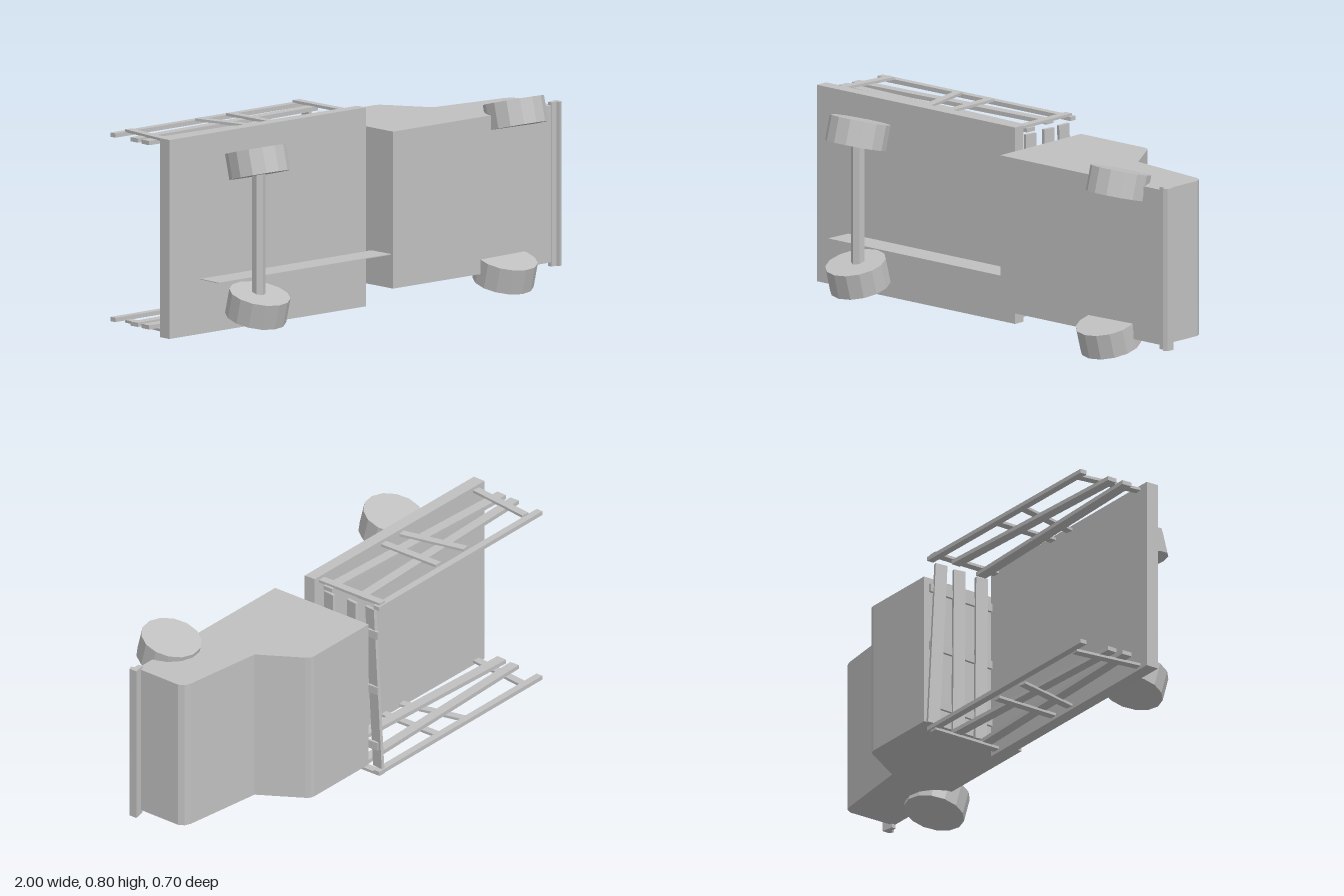
import * as THREE from 'three';

const grey = new THREE.MeshStandardMaterial({ color: 0xc0c0c0, flatShading: true });
grey.name = 'plain grey';

// Mid height of the truck, which lies on its side (its width runs along y)
const MID = 0.4035;

function add(parent, name, geometry) {
  const mesh = new THREE.Mesh(geometry, grey);
  mesh.name = name;
  parent.add(mesh);
  return mesh;
}

// Side profile of [x, z] points, extruded from y0 to y1
function slab(points, y0, y1) {
  const shape = new THREE.Shape(points.map(([x, z]) => new THREE.Vector2(x, -z)));
  const geo = new THREE.ExtrudeGeometry(shape, { depth: y1 - y0, bevelEnabled: false });
  geo.rotateX(-Math.PI / 2);
  geo.translate(0, y0, 0);
  return geo;
}

// Straight rectangular bar between two points; width lies square to its length and to 'across'
function bar(a, b, width, thick, across) {
  const p = new THREE.Vector3(...a), q = new THREE.Vector3(...b);
  const dir = q.clone().sub(p);
  const geo = new THREE.BoxGeometry(dir.length(), width, thick);
  const x = dir.normalize();
  const y = new THREE.Vector3(...across).cross(x).normalize();
  const z = x.clone().cross(y);
  geo.applyMatrix4(new THREE.Matrix4().makeBasis(x, y, z));
  const c = p.add(q).multiplyScalar(0.5);
  geo.translate(c.x, c.y, c.z);
  return geo;
}

export function createModel() {
  const truck = new THREE.Group();
  truck.name = 'stakeTruck';

  // Cab and bonnet
  add(truck, 'cab', slab([
    [0.07, -0.325], [0.41, -0.346], [0.428, -0.343], [0.443, -0.328], [0.56, -0.163],
    [0.91, -0.142], [0.935, -0.133], [0.95, -0.11], [0.96, 0.1], [0.1, 0.152],
  ], 0.087, 0.72));

  // Bumper with a turned-down lip
  add(truck, 'bumper', slab([
    [0.948, 0.084], [0.998, 0.07], [1, 0.105], [0.982, 0.114], [0.978, 0.1], [0.95, 0.102],
  ], 0.07, 0.732));

  // Load bed and the chassis plate beneath it
  add(truck, 'bed', slab([[-1, 0.04], [0.055, -0.02], [0.06, 0.03], [-0.997, 0.095]], 0.003, 0.805));
  add(truck, 'chassisPlate', slab([[-0.83, 0.084], [0.09, 0.026], [0.1, 0.14], [-0.83, 0.197]], 0.222, 0.225));

  // Splayed wheels: x, z and side
  const wheels = [
    ['rearRightWheel', -0.643, 0.2145, -1], ['rearLeftWheel', -0.643, 0.2145, 1],
    ['frontRightWheel', 0.69, 0.1305, -1], ['frontLeftWheel', 0.745, 0.128, 1],
  ];
  for (const [name, x, z, side] of wheels) {
    const wheel = add(truck, name, new THREE.CylinderGeometry(0.123, 0.123, 0.104, 14));
    const reach = x < 0 ? 0.2895 : 0.3135;
    wheel.position.set(x, MID + side * reach, z);
    wheel.rotation.x = -side * 0.26;
  }

  // Rear axle
  const axle = add(truck, 'rearAxle', new THREE.CylinderGeometry(0.027, 0.027, 0.5, 6));
  axle.position.set(-0.64, MID, 0.218);

  // Side racks: slats inside, crooked stakes outside
  const slats = [
    [-1, -0.257, 0.025, -0.325, 0.03], [-1, -0.122, 0, -0.222, 0.042], [-1, -0.053, 0.04, -0.077, 0.045],
  ];
  const stakes = [
    [-0.945, 0.035, -0.925, -0.25], [-0.48, 0.008, -0.56, -0.265],
    [-0.37, 0.002, -0.39, -0.275], [0.015, -0.02, -0.005, -0.33],
  ];
  for (const side of [-1, 1]) {
    const rack = new THREE.Group();
    rack.name = side > 0 ? 'leftRack' : 'rightRack';
    const ySlat = MID + side * 0.3715, yStake = MID + side * 0.384;
    for (const [x0, z0, x1, z1, w] of slats)
      add(rack, 'slat', bar([x0, ySlat, z0], [x1, ySlat, z1], w, 0.017, [0, 1, 0]));
    for (const [x0, z0, x1, z1] of stakes)
      add(rack, 'stake', bar([x0, yStake, z0], [x1, yStake, z1], 0.034, 0.011, [0, 1, 0]));
    truck.add(rack);
  }

  // Headboard behind the cab, leaning back
  const headboard = new THREE.Group();
  headboard.name = 'headboard';
  const leanX = z => 0.04 + z * 0.1;
  for (const [z0, z1] of [[-0.085, -0.08], [-0.197, -0.192], [-0.322, -0.283]])
    add(headboard, 'slat', bar([leanX(z0), 0.052, z0], [leanX(z1), 0.757, z1], 0.052, 0.014, [1, 0, 0.1]));
  for (const y of [0.15, 0.4, 0.65])
    add(headboard, 'stake', bar([leanX(0) + 0.012, y, -0.015], [leanX(-0.33) + 0.012, y, -0.33], 0.034, 0.011, [1, 0, 0.1]));
  truck.add(headboard);

  return truck;
}
